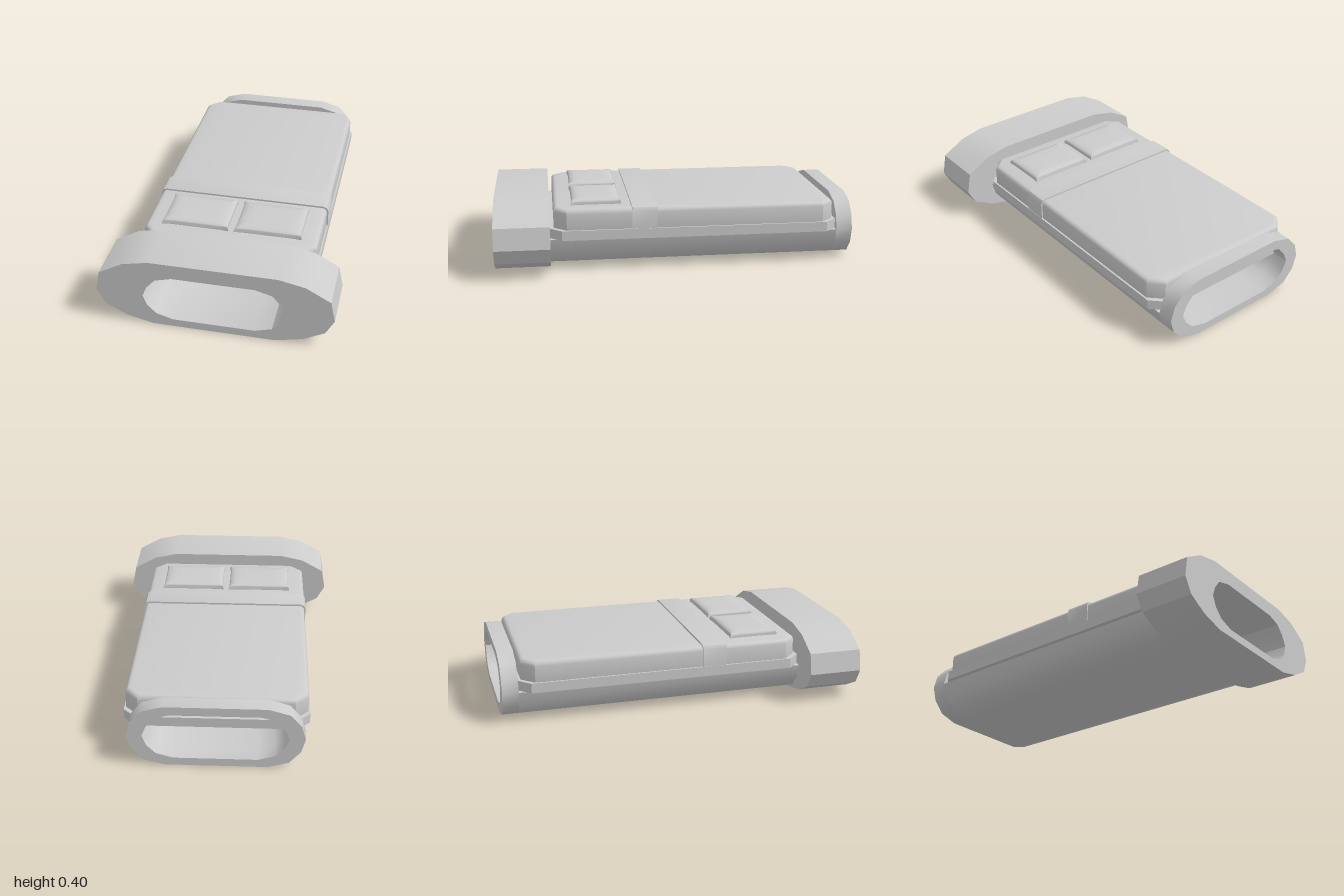
import * as THREE from 'three';
import { toCreasedNormals } from 'three/addons/utils/BufferGeometryUtils.js';

const material = new THREE.MeshStandardMaterial({ color: 0xcccccc, side: THREE.DoubleSide });
const MID = 0.18; // height of the tube axis

// Right-hand half profiles, listed from top to bottom
const COLLAR = [[0.34, 0.4], [0.48, 0.37], [0.61, 0.297], [0.633, MID], [0.587, 0.095], [0.473, 0.035], [0.33, 0]];
const TUBE = [[0.27, 0.36], [0.38, 0.328], [0.44, 0.26], [0.462, MID], [0.44, 0.1], [0.38, 0.032], [0.27, 0]];
const BORE = [[0.22, 0.315], [0.31, 0.29], [0.357, 0.235], [0.38, MID], [0.357, 0.12], [0.31, 0.072], [0.22, 0.045]];

const points = list => list.map(([x, y]) => new THREE.Vector2(x, y));
const mirrored = half => points([...half, ...half.map(([x, y]) => [-x, y]).reverse()]);

function part(name, geometry, crease = 0.6) {
  const mesh = new THREE.Mesh(toCreasedNormals(geometry, crease), material);
  mesh.name = name;
  return mesh;
}

// Section in x/y drawn out from z0 to z1
function drawn(name, outline, hole, z0, z1, crease) {
  const shape = new THREE.Shape(outline);
  if (hole) shape.holes.push(new THREE.Path(hole));
  const geometry = new THREE.ExtrudeGeometry(shape, { depth: z1 - z0, bevelEnabled: false });
  return part(name, geometry.translate(0, 0, z0), crease);
}

// Slab with cut corners and an optional rounded rim
function slab(name, halfWidth, z0, z1, y0, y1, cut, bevel) {
  const w = halfWidth, a = -z1, b = -z0;
  const shape = new THREE.Shape(points([
    [w - cut, a], [w, a + cut], [w, b - cut], [w - cut, b],
    [cut - w, b], [-w, b - cut], [-w, a + cut], [cut - w, a]]));
  const geometry = new THREE.ExtrudeGeometry(shape, {
    depth: y1 - y0 - 2 * bevel, bevelEnabled: bevel > 0,
    bevelThickness: bevel, bevelSize: bevel, bevelOffset: -bevel, bevelSegments: 3,
  });
  return part(name, geometry.rotateX(-Math.PI / 2).translate(0, y0 + bevel, 0));
}

// Soft cushion: domed top, slightly pinched sides
function cushion(name, x) {
  const geometry = new THREE.BoxGeometry(2, 2, 2, 14, 4, 12);
  const p = geometry.attributes.position;
  for (let i = 0; i < p.count; i++) {
    const u = p.getX(i), v = p.getY(i), w = p.getZ(i);
    const rim = 1 - 0.05 * Math.max(0, v) ** 2;
    const dome = (1 - u ** 6) * (1 - w ** 6);
    p.setXYZ(i,
      u * 0.186 * rim * (1 - 0.03 * (1 - w ** 8)),
      v * (0.012 + 0.008 * dome),
      w * 0.139 * rim * (1 - 0.04 * (1 - u ** 8)));
  }
  const mesh = part(name, geometry, 0.8);
  mesh.position.set(x, 0.365, 0.443);
  return mesh;
}

export function createModel() {
  const model = new THREE.Group();
  model.name = 'flatTubeDevice';

  // Wide front collar and narrow rear ring, both open through the middle
  model.add(drawn('frontCollar', mirrored(COLLAR), mirrored(BORE), 0.7, 1, 0.45));
  model.add(drawn('rearRing', mirrored(TUBE), mirrored(BORE), -1, -0.91));

  // Lower trough joining the two
  const trough = [...mirrored(TUBE.slice(3)), ...mirrored(BORE.slice(3)).reverse()];
  model.add(drawn('lowerTrough', trough, null, -0.91, 0.7));

  // Base plate and rounded upper case
  model.add(slab('basePlate', 0.488, -0.91, 0.7, MID, 0.235, 0.065, 0));
  model.add(slab('upperCase', 0.478, -0.892, 0.678, 0.19, 0.35, 0.07, 0.026));

  // Raised strap across the case
  const strap = [[0.455, 0.36], [0.475, 0.353], [0.486, 0.335], [0.486, 0.225]];
  model.add(drawn('strap', mirrored(strap), null, 0.113, 0.25));

  // Pair of cushions
  model.add(cushion('leftCushion', 0.202), cushion('rightCushion', -0.202));
  return model;
}
